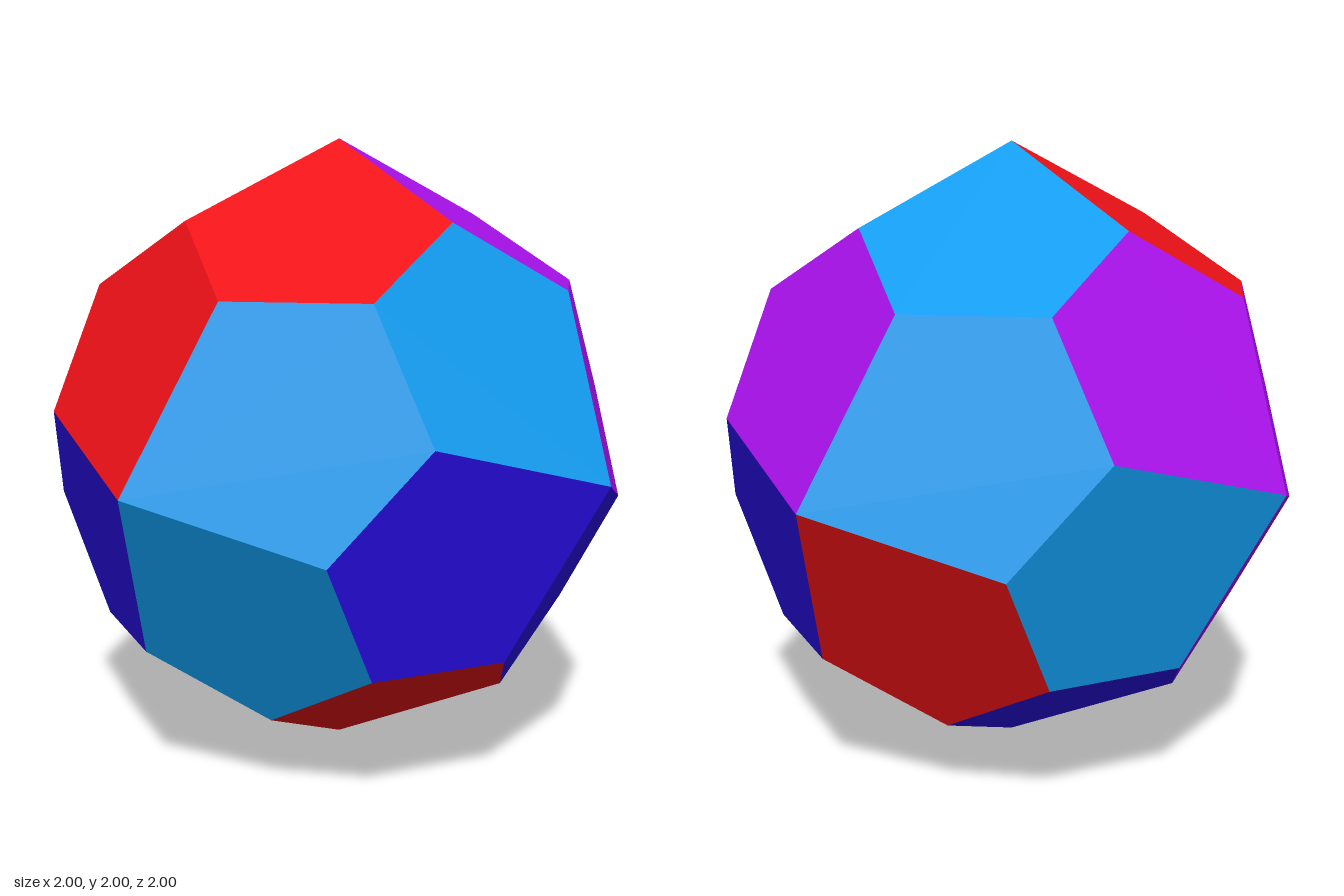
import * as THREE from 'three';

// Pentagonal icositetrahedron: 24 equal pentagons, coloured in four sets of six.
const T = 1.8392867552; // tribonacci constant
const A = 1 / T, S = 1 / T ** 3, L = (2 * T + 1) / T ** 3;

// One pentagon beside the +w axis, counter-clockwise from outside (u, v, w)
const PENTAGON = [[0, 0, 1], [S, A, L], [-S, L, A], [-A, A, A], [-A, S, L]];

const COLORS = { R: 0xee1116, A: 0x119bee, P: 0xaa11ee, B: 0x2a0dee };
const NAMES = { R: 'redFaces', A: 'azureFaces', P: 'purpleFaces', B: 'blueFaces' };

// Colours of the four pentagons round each axis end, by quarter turn
const AXES = [
  { axis: 0, positive: 'BBPA', negative: 'APPP' },
  { axis: 1, positive: 'PARR', negative: 'BRRB' },
  { axis: 2, positive: 'RBAA', negative: 'RAPB' },
];

// Turn a pentagon corner about w, flip it to the other end, then cycle w onto the axis
function place([u, v, w], turns, flip, axis) {
  for (let i = 0; i < turns; i++) [u, v] = [-v, u];
  if (flip) { v = -v; w = -w; }
  const p = [0, 0, 0];
  p[axis] = w;
  p[(axis + 1) % 3] = u;
  p[(axis + 2) % 3] = v;
  return p;
}

export function createModel() {
  const group = new THREE.Group();
  group.name = 'pentagonalSolid';
  const positions = { R: [], A: [], P: [], B: [] };

  // Fan each pentagon into triangles in its colour set
  for (const { axis, positive, negative } of AXES) {
    [positive, negative].forEach((colors, flip) => {
      for (let k = 0; k < 4; k++) {
        const c = PENTAGON.map((p) => place(p, k, flip, axis));
        for (let i = 1; i < 4; i++) positions[colors[k]].push(...c[0], ...c[i], ...c[i + 1]);
      }
    });
  }

  // One mesh per colour set
  for (const key of Object.keys(COLORS)) {
    const geometry = new THREE.BufferGeometry();
    geometry.setAttribute('position', new THREE.Float32BufferAttribute(positions[key], 3));
    geometry.translate(0, 1, 0);
    geometry.computeVertexNormals();
    const mesh = new THREE.Mesh(
      geometry,
      new THREE.MeshStandardMaterial({ color: COLORS[key], flatShading: true }),
    );
    mesh.name = NAMES[key];
    group.add(mesh);
  }
  return group;
}
